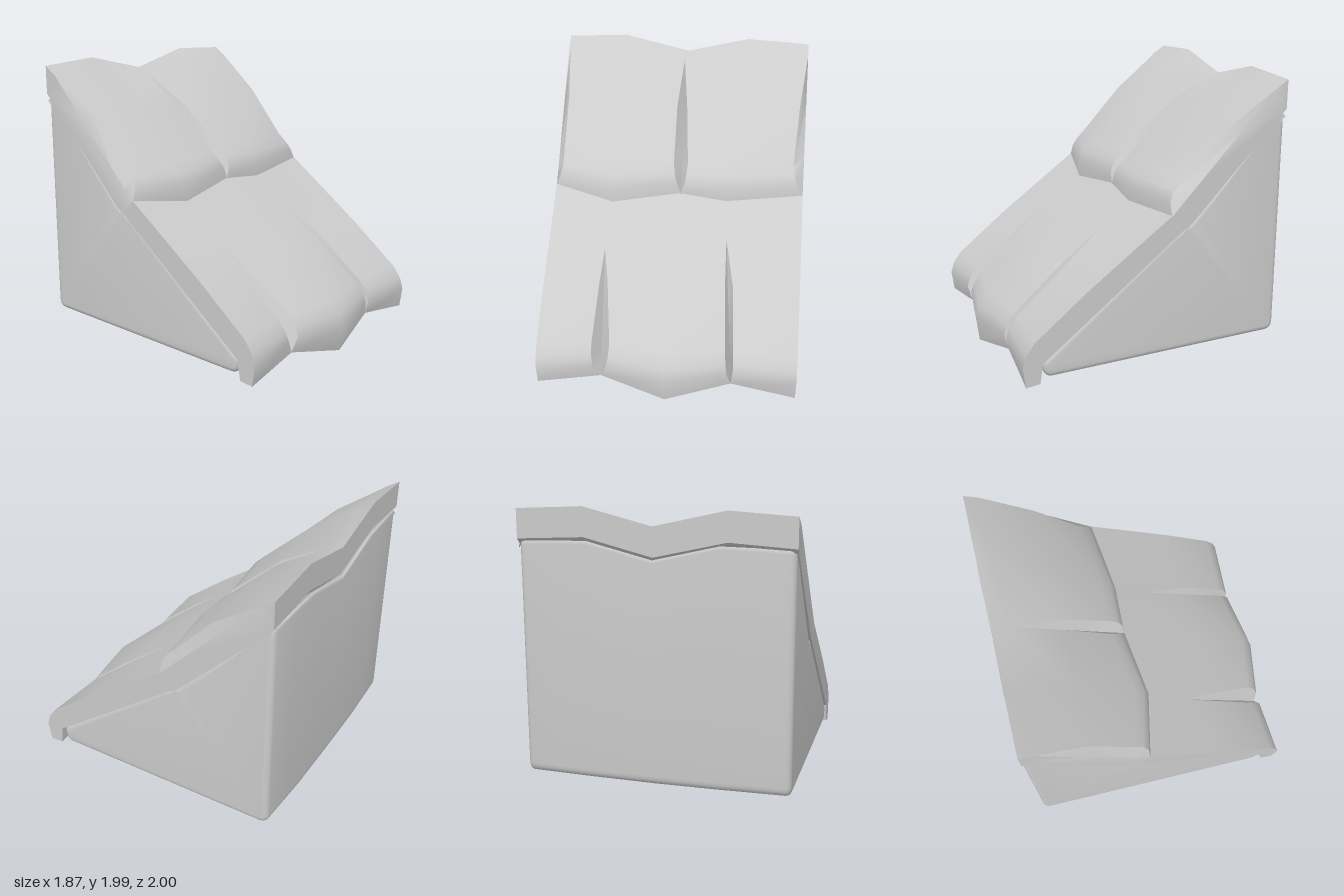
import * as THREE from 'three';
import { toCreasedNormals } from 'three/addons/utils/BufferGeometryUtils.js';

const HALF = 0.935;
const { clamp, lerp } = THREE.MathUtils;

// Profiles as [z, y], from the lip up the slope
const LOWER = [[0.98, 0], [1, 0.18], [0.975, 0.27], [0.91, 0.36], [0.52, 0.66], [0.24, 0.865], [-0.12, 1.13]];
const UPPER = [[-0.02, 1.02], [-0.025, 1.16], [-0.06, 1.235], [-0.13, 1.305], [-0.49, 1.65], [-0.87, 1.92], [-0.975, 1.99]];

// How far each row follows the column's offsets
const FADE_Z = [1, 1, 1, 0.9, 0.4, 0.1, 0];
const FADE_LIP = [1, 0.3, 0.15, 0, 0, 0, 0];
const FADE_TOP = [0, 0, 0, 0, 0.3, 0.7, 1];
const GROOVE_T = [0, 0.1, 0.18, 0.28, 0.65, 1];

// One column of a course: x per row, lip offsets, top offset, groove end shift
function column(profile, x, { dz = 0, lip = 0, top = 0, shift = 0, groove = false }) {
  const pts = profile.map(([z, y], i) => new THREE.Vector3(
    Array.isArray(x) ? x[i] : x,
    y + lip * FADE_LIP[i] + top * FADE_TOP[i] - (i === 5 ? 0.75 * shift : 0),
    z + dz * FADE_Z[i] + (i === 5 ? shift : 0)));
  // A groove runs straight from the lip to where it dies out
  if (groove) for (let i = 1; i < 5; i++) pts[i].lerpVectors(pts[0], pts[5], GROOVE_T[i]);
  return pts;
}

// Skin closed rings side by side along x and cap both ends
function loft(rings) {
  const pos = [];
  const tri = (a, b, c) => {
    const area = b.clone().sub(a).cross(c.clone().sub(a)).length();
    if (area > 1e-7) for (const p of [a, b, c]) pos.push(p.x, p.y, p.z);
  };
  const n = rings[0].length;
  for (let i = 0; i < rings.length - 1; i++) {
    for (let j = 0; j < n; j++) {
      const k = (j + 1) % n;
      const a = rings[i][j], b = rings[i + 1][j], c = rings[i + 1][k], d = rings[i][k];
      tri(a, b, c);
      tri(a, c, d);
    }
  }
  for (const [ring, side] of [[rings[0], -1], [rings[rings.length - 1], 1]]) {
    const flat = ring.map((p) => new THREE.Vector2(-p.z, p.y));
    for (const f of THREE.ShapeUtils.triangulateShape(flat, [])) {
      const ccw = THREE.ShapeUtils.area(f.map((i) => flat[i])) > 0;
      const [a, b, c] = f.map((i) => ring[i]);
      if (ccw === (side > 0)) tri(a, b, c); else tri(a, c, b);
    }
  }
  const geo = new THREE.BufferGeometry();
  geo.setAttribute('position', new THREE.Float32BufferAttribute(pos, 3));
  return toCreasedNormals(geo, 0.6);
}

function lowerCourse() {
  const edge = { dz: -0.05, lip: 0.05, top: -0.025 };
  const left = { dz: -0.08, lip: 0.12, top: -0.025, shift: 0.05 };
  const right = { ...left, shift: -0.05 };
  const cols = [
    [-HALF, edge],
    [[-0.47, -0.525, -0.535, -0.54, -0.525, -0.51, -0.51], left],
    [[-0.47, -0.48, -0.485, -0.49, -0.5, -0.51, -0.51], { ...left, groove: true }],
    [[-0.47, -0.43, -0.415, -0.41, -0.465, -0.51, -0.51], left],
    [0, {}],
    [[0.47, 0.44, 0.43, 0.42, 0.395, 0.385, 0.385], right],
    [[0.47, 0.46, 0.45, 0.445, 0.42, 0.385, 0.385], { ...right, groove: true }],
    [[0.47, 0.48, 0.485, 0.48, 0.455, 0.385, 0.385], right],
    [HALF, edge],
  ];
  return loft(cols.map(([x, o]) => {
    const pts = column(LOWER, x, o);
    const { dz = 0, lip = 0 } = o;
    const ux = pts[0].x;
    // Underside of the slab
    pts.push(new THREE.Vector3(pts[6].x, 1.0, -0.22),
      new THREE.Vector3(ux, 0.15 + lip, 0.86 + dz),
      new THREE.Vector3(ux, 0.01 + lip, 0.88 + dz));
    return pts;
  }));
}

function upperCourse() {
  const edge = { dz: -0.1, lip: 0.08, top: -0.025 };
  const mid = { dz: -0.06, lip: 0.08, top: -0.115 };
  const cols = [
    [-HALF, { ...edge, groove: true }],
    [[-HALF, -0.9, -0.885, -0.885, -0.885, -0.925, -HALF], edge],
    [-0.49, {}],
    [[0.02, -0.01, -0.03, -0.04, -0.045, -0.02, 0], mid],
    [[0.02, 0.015, 0.01, 0.005, -0.005, -0.02, 0], { ...mid, groove: true }],
    [[0.02, 0.05, 0.06, 0.065, 0.03, -0.02, 0], mid],
    [[0.36, 0.36, 0.37, 0.38, 0.42, 0.46, 0.47], { dz: -0.04, lip: 0.04 }],
    [[HALF, 0.89, 0.865, 0.855, 0.885, 0.925, HALF], edge],
    [HALF, { ...edge, groove: true }],
  ];
  return loft(cols.map(([x, o]) => {
    const pts = column(UPPER, x, o);
    const ux = pts[6].x;
    // Back edge and underside of the slab
    pts.push(new THREE.Vector3(ux, 1.79 + (o.top ?? 0), -0.975),
      new THREE.Vector3(ux, 1.03, -0.27),
      new THREE.Vector3(pts[0].x, 1.0, -0.22));
    return pts;
  }));
}

// Piecewise linear value across the width: edge, quarter, centre
function across(x, edge, quarter, centre) {
  const a = Math.min(Math.abs(x) / 0.47, 2);
  return a < 1 ? lerp(centre, quarter, a) : lerp(quarter, edge, a - 1);
}

// Rounded wedge below the slabs
function wedge() {
  const corners = [[0.79, 0.08, 0.06], [-0.972, 0.125, 0.07], [-0.972, 1.765, 0.04],
    [-0.26, 1.025, 0.06], [-0.18, 0.99, 0.04], [0.81, 0.2, 0.04]]
    .map(([z, y, r]) => ({ p: new THREE.Vector2(-z, y), r }));
  const shape = new THREE.Shape();
  corners.forEach(({ p, r }, i) => {
    const toward = (q) => q.clone().sub(p).setLength(r).add(p);
    const a = toward(corners[(i + 5) % 6].p), b = toward(corners[(i + 1) % 6].p);
    if (i) shape.lineTo(a.x, a.y); else shape.moveTo(a.x, a.y);
    shape.quadraticCurveTo(p.x, p.y, b.x, b.y);
  });
  shape.closePath();
  const bevel = 0.04, depth = 2 * (0.925 - bevel);
  const geo = new THREE.ExtrudeGeometry(shape, {
    depth, steps: 8, curveSegments: 5, bevelEnabled: true,
    bevelThickness: bevel, bevelSize: bevel, bevelOffset: -bevel, bevelSegments: 4,
  });
  geo.translate(0, 0, -depth / 2).rotateY(Math.PI / 2);

  // Follow the wavy lip, the wavy ridge and a slightly bowed back
  const pos = geo.attributes.position;
  for (let i = 0; i < pos.count; i++) {
    const x = pos.getX(i), y = pos.getY(i), z = pos.getZ(i);
    const front = clamp((z + 1) / 1.8, 0, 1) * clamp((0.5 - y) / 0.3, 0, 1);
    const ridge = clamp((y - 1) / 0.76, 0, 1);
    const back = clamp((-z - 0.5) / 0.45, 0, 1);
    pos.setY(i, y + across(x, 0, 0.05, -0.05) * front + across(x, 0, 0.025, -0.09) * ridge);
    pos.setZ(i, z + across(x, 0, -0.02, 0.04) * front - across(x, 0, 0.022, 0.025) * back);
  }
  return toCreasedNormals(geo, 0.7);
}

export function createModel() {
  const material = new THREE.MeshStandardMaterial({ color: 0xcccccc });
  const group = new THREE.Group();
  group.name = 'roofBlock';
  const parts = { lowerShingles: lowerCourse(), upperShingles: upperCourse(), wedgeBody: wedge() };
  for (const [name, geo] of Object.entries(parts)) {
    const mesh = new THREE.Mesh(geo, material);
    mesh.name = name;
    group.add(mesh);
  }
  return group;
}
